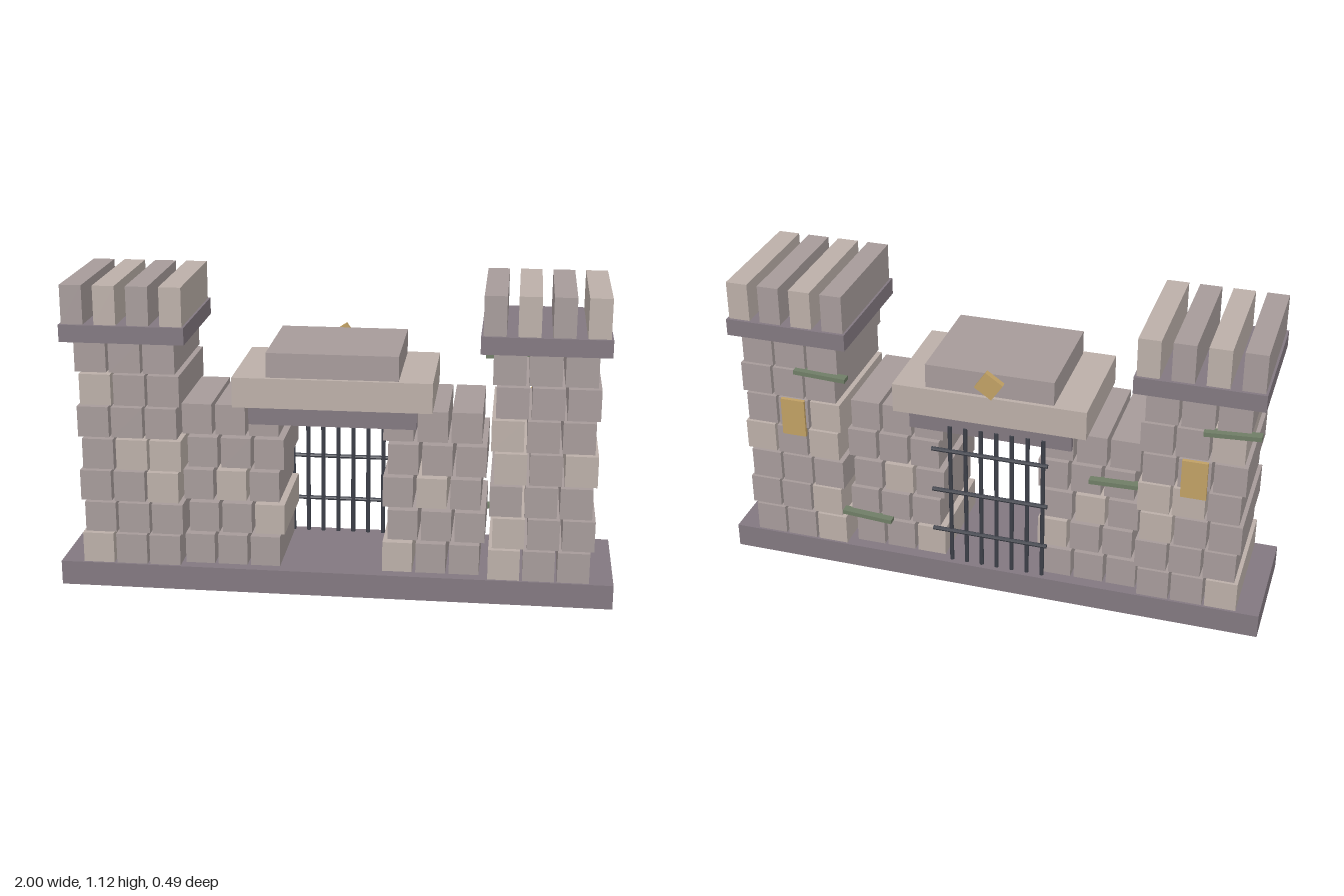
import * as THREE from 'three';

const mat = (color) => new THREE.MeshStandardMaterial({ color, flatShading: true });
const STONE = mat(0xa69b9a), LIGHT = mat(0xbbafa8), DARK = mat(0x827880);
const IRON = mat(0x3c3f48), GOLD = mat(0xc0a064), MOSS = mat(0x6f7d66);

// Box given by its centre and size
function box(parent, name, material, [x, y, z], [w, h, d], tilt = 0) {
  const mesh = new THREE.Mesh(new THREE.BoxGeometry(w, h, d), material);
  mesh.name = name;
  mesh.position.set(x, y, z);
  mesh.rotation.z = tilt;
  parent.add(mesh);
  return mesh;
}

// Round iron bar
function bar(parent, name, x, y, z, length, radius, horizontal) {
  const mesh = new THREE.Mesh(new THREE.CylinderGeometry(radius, radius, length, 8), IRON);
  mesh.name = name;
  mesh.position.set(x, y, z);
  if (horizontal) mesh.rotation.z = Math.PI / 2;
  parent.add(mesh);
}

// Courses of three stones, odd courses shifted sideways; L = light stone
function courses(parent, name, rows, startX, pitchX, pitchY, size, shift) {
  rows.forEach((row, r) => {
    [...row].forEach((c, i) => {
      const x = startX + size[0] / 2 + i * pitchX + (r % 2) * shift;
      const y = 0.09 + size[1] / 2 + r * pitchY;
      box(parent, name, c === 'L' ? LIGHT : STONE, [x, y, 0], size);
    });
  });
}

function tower(name, x, rows) {
  const g = new THREE.Group();
  g.name = name;
  courses(g, 'towerStone', rows, x - 0.178, 0.123, 0.12, [0.113, 0.112, 0.432], 0.013);
  box(g, 'towerCap', DARK, [x, 0.954, 0], [0.445, 0.062, 0.486]);
  for (let i = 0; i < 4; i++) {
    box(g, 'merlon', i % 2 ? LIGHT : STONE, [x + (i - 1.5) * 0.117, 1.055, 0], [0.078, 0.14, 0.464]);
  }
  box(g, 'backPlaque', GOLD, [x, 0.61, -0.219], [0.09, 0.145, 0.014]);
  return g;
}

function wall(name, startX, rows) {
  const g = new THREE.Group();
  g.name = name;
  courses(g, 'wallStone', rows, startX, 0.12, 0.1235, [0.107, 0.111, 0.362], 0.018);
  return g;
}

export function createModel() {
  const model = new THREE.Group();
  model.name = 'castleGate';

  box(model, 'base', DARK, [0, 0.045, 0], [2, 0.09, 0.45]);

  // Towers and flanking walls, bottom course first
  model.add(
    tower('rightTower', -0.738, ['LGG', 'GGG', 'GGL', 'GLL', 'GGG', 'LGG', 'GGG']),
    tower('leftTower', 0.733, ['LGG', 'LGG', 'GGG', 'LGL', 'LGG', 'GGG', 'GGG']),
    wall('rightWall', -0.543, ['GGG', 'GGL', 'GLG', 'GGG', 'GGG']),
    wall('leftWall', 0.176, ['LGG', 'GGG', 'GLG', 'GGG', 'GGG']),
  );

  // Stepped lintel over the gateway
  const lintel = new THREE.Group();
  lintel.name = 'lintel';
  box(lintel, 'lintelBeam', DARK, [-0.003, 0.667, 0], [0.595, 0.068, 0.4]);
  box(lintel, 'lintelSlab', LIGHT, [-0.003, 0.752, 0], [0.705, 0.108, 0.432]);
  box(lintel, 'lintelTop', STONE, [-0.003, 0.85, 0], [0.466, 0.09, 0.402]);
  box(lintel, 'backDiamond', GOLD, [-0.008, 0.857, -0.215], [0.075, 0.075, 0.022], 0.6);
  model.add(lintel);

  // Iron gate at the back of the passage
  const gate = new THREE.Group();
  gate.name = 'gate';
  for (let i = 0; i < 7; i++) bar(gate, 'gateUpright', -0.2 + i * 0.0573, 0.375, -0.2, 0.57, 0.008, false);
  for (const y of [0.22, 0.39, 0.56]) bar(gate, 'gateCrossbar', -0.003, y, -0.205, 0.43, 0.008, true);
  model.add(gate);

  // Mossy strips on the back
  const strips = [
    [-0.857, 0.81, -0.222, -0.06],
    [0.617, 0.803, -0.222, 0.04],
    [-0.465, 0.53, -0.193, -0.03],
    [0.475, 0.217, -0.193, 0.06],
  ];
  for (const [x, y, z, tilt] of strips) box(model, 'mossStrip', MOSS, [x, y, z], [0.195, 0.016, 0.034], tilt);

  return model;
}
